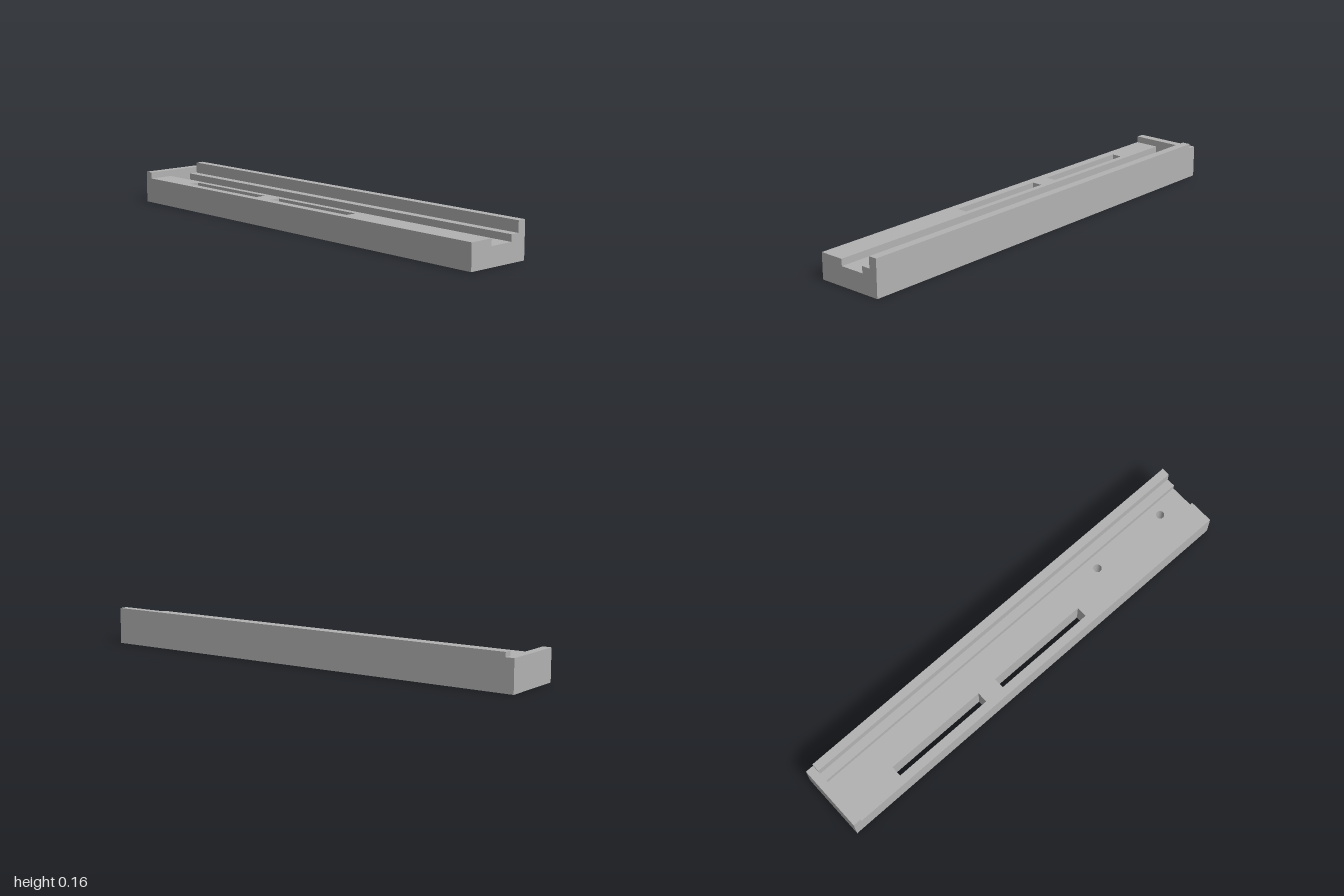
import * as THREE from 'three';

const BACK = -0.149, FRONT = 0.149, LEFT = 1, RIGHT = -1, STOP = -0.963;

// Rectangular outline in plan; plan y is -z
function rect(target, x0, x1, z0, z1) {
  target.moveTo(x0, -z0);
  target.lineTo(x0, -z1);
  target.lineTo(x1, -z1);
  target.lineTo(x1, -z0);
  target.closePath();
  return target;
}

export function createModel() {
  const group = new THREE.Group();
  group.name = 'slottedRail';
  const grey = new THREE.MeshStandardMaterial({ color: 0xb2b2b2 });
  grey.name = 'plainGrey';

  // A lengthwise strip standing on the ground, with openings cut right through
  function strip(name, x0, x1, z0, z1, height, holes = []) {
    const shape = rect(new THREE.Shape(), x0, x1, z0, z1);
    shape.holes.push(...holes);
    const geometry = new THREE.ExtrudeGeometry(shape, {
      depth: height, bevelEnabled: false, curveSegments: 32,
    });
    geometry.rotateX(-Math.PI / 2);
    const mesh = new THREE.Mesh(geometry, grey);
    mesh.name = name;
    group.add(mesh);
  }

  // Two long slots in the front ledge
  const slots = [[-0.727, -0.26], [-0.168, 0.301]].map(
    ([a, b]) => rect(new THREE.Path(), a, b, 0.064, 0.111));

  // Two round screw holes in the channel floor
  const screwHoles = [0.496, 0.869].map(
    x => new THREE.Path().absarc(x, 0.021, 0.018, 0, Math.PI * 2));

  strip('frontLedge', STOP, LEFT, 0.039, FRONT, 0.111, slots);
  strip('channelFloor', STOP, LEFT, -0.073, 0.039, 0.082, screwHoles);
  strip('backLedge', STOP, LEFT, -0.112, -0.073, 0.111);
  strip('backWall', STOP, LEFT, BACK, -0.112, 0.159);
  strip('endStop', RIGHT, STOP, BACK, FRONT, 0.139);

  return group;
}
